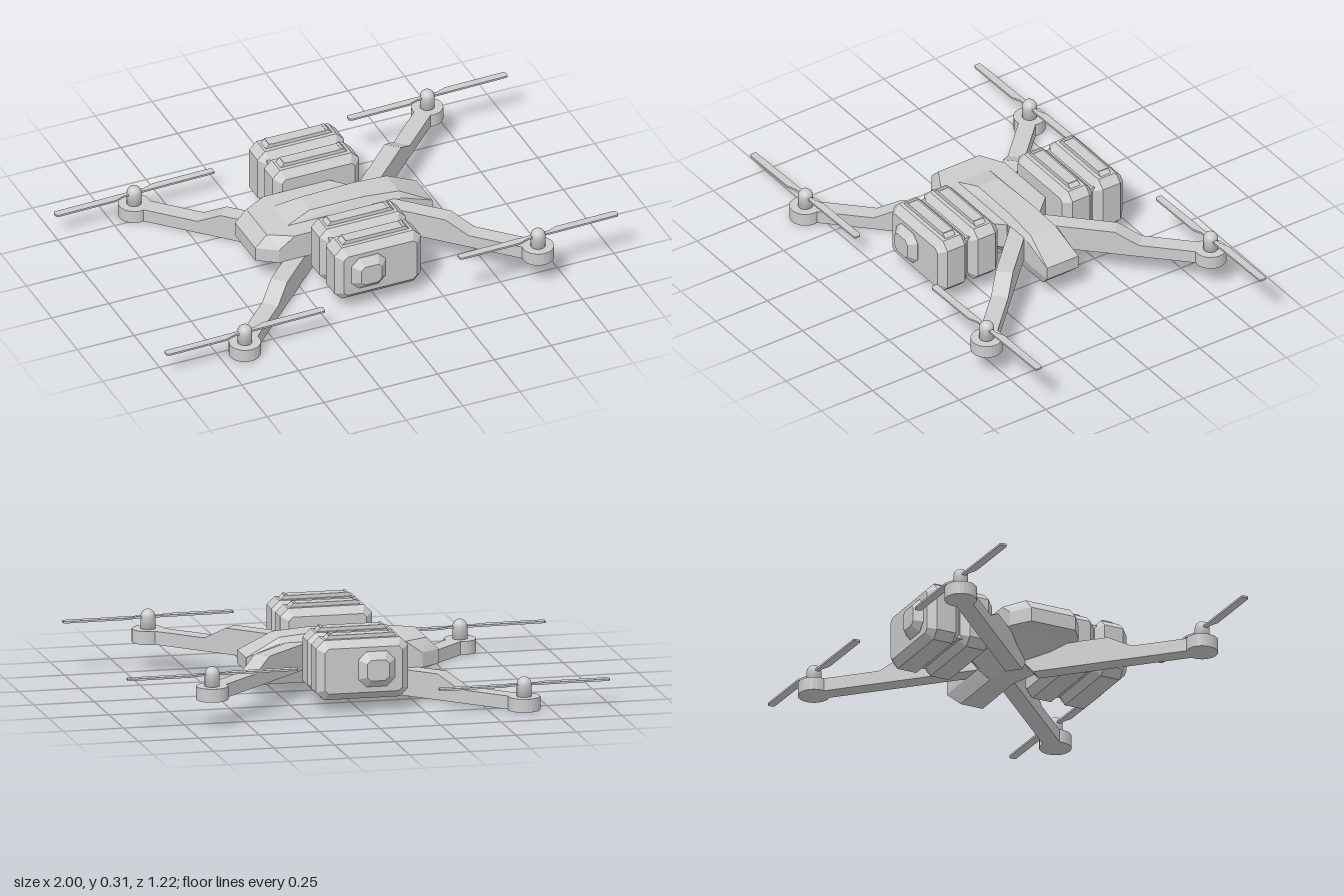
import * as THREE from 'three';
import { ConvexGeometry } from 'three/addons/geometries/ConvexGeometry.js';

const flat = new THREE.MeshStandardMaterial({ color: 0xcccccc, flatShading: true });
const smooth = new THREE.MeshStandardMaterial({ color: 0xcccccc });

function add(parent, name, geometry, material = flat) {
  const mesh = new THREE.Mesh(geometry, material);
  mesh.name = name;
  parent.add(mesh);
  return mesh;
}

// Convex solid from [x, y, halfWidth] points mirrored across z
function hull(points) {
  return new ConvexGeometry(points.flatMap(([x, y, z]) =>
    [new THREE.Vector3(x, y, z), new THREE.Vector3(x, y, -z)]));
}

function polygon(points) {
  return new THREE.Shape(points.map(([x, y]) => new THREE.Vector2(x, y)));
}

// Box with every edge chamfered, centred on the origin
function chamferBox(w, h, d, c) {
  const x = w / 2 - c, y = h / 2 - c, k = c * 0.5;
  const geo = new THREE.ExtrudeGeometry(polygon([
    [-x + k, -y], [x - k, -y], [x, -y + k], [x, y - k],
    [x - k, y], [-x + k, y], [-x, y - k], [-x, -y + k],
  ]), { depth: d - 2 * c, bevelEnabled: true, bevelThickness: c, bevelSize: c, bevelSegments: 1 });
  return geo.translate(0, 0, -(d - 2 * c) / 2);
}

// Arm profile: thin at the motor, stepping up towards the body
function armGeometry() {
  const geo = new THREE.ExtrudeGeometry(polygon([
    [0.07, 0], [0.771, 0], [0.771, 0.055], [0.485, 0.055], [0.385, 0.107], [0.03, 0.107], [0.03, 0.045],
  ]), { depth: 0.07, bevelEnabled: false });
  return geo.translate(0, 0, -0.035);
}

// Thin propeller blade reaching along +x, lying to the -z side of its hub
function bladeGeometry() {
  const geo = new THREE.ExtrudeGeometry(polygon([
    [0, -0.008], [0.06, -0.008], [0.35, -0.002], [0.355, 0.004],
    [0.355, 0.024], [0.345, 0.03], [0.09, 0.026], [0.05, 0.01], [0, 0.008],
  ]), { depth: 0.008, bevelEnabled: false });
  return geo.rotateX(-Math.PI / 2).translate(0, -0.004, 0);
}

function createMotor() {
  const motor = new THREE.Group();
  motor.name = 'motor';
  add(motor, 'motorMount', new THREE.CylinderGeometry(0.065, 0.065, 0.055, 24)).position.y = 0.0275;
  const r = 0.03, profile = [[0, 0.05], [r, 0.05], [r, 0.105]];
  for (let i = 1; i <= 6; i++) {
    const a = i * Math.PI / 12;
    profile.push([r * Math.cos(a), 0.105 + r * Math.sin(a)]);
  }
  add(motor, 'motorShaft', new THREE.LatheGeometry(
    profile.map(([x, y]) => new THREE.Vector2(Math.max(x, 0), y)), 20), smooth);
  for (const turn of [0, Math.PI]) {
    const blade = add(motor, 'propellerBlade', bladeGeometry());
    blade.position.y = 0.103;
    blade.rotation.y = turn;
  }
  return motor;
}

function createBatteryPack(side) {
  const pack = new THREE.Group();
  pack.name = side > 0 ? 'frontBatteryPack' : 'backBatteryPack';
  for (const z of [0.23, 0.378]) {
    add(pack, 'batteryBlock', chamferBox(0.38, 0.245, 0.144, 0.03)).position.set(-0.005, 0.175, side * z);
    // Raised rail with a bar on top
    add(pack, 'batteryRail', hull([
      [-0.16, 0.29, 0.025], [0.15, 0.29, 0.025], [-0.135, 0.313, 0.024], [0.125, 0.313, 0.024],
    ])).position.z = side * z;
    for (const x of [-0.13, 0.12]) {
      add(pack, 'railStop', new THREE.BoxGeometry(0.012, 0.006, 0.048)).position.set(x, 0.312, side * z);
    }
  }
  add(pack, 'batteryCore', new THREE.BoxGeometry(0.32, 0.19, 0.06)).position.set(-0.005, 0.175, side * 0.304);
  add(pack, 'batteryKnob', chamferBox(0.15, 0.145, 0.09, 0.03)).position.set(-0.058, 0.177, side * 0.436);
  return pack;
}

export function createModel() {
  const model = new THREE.Group();
  model.name = 'quadcopter';

  // Body
  add(model, 'bodyShell', hull([
    [-0.4, 0.105, 0.1], [-0.32, 0.105, 0.155], [0.04, 0.105, 0.155], [0.11, 0.105, 0.08],
    [-0.4, 0.165, 0.1], [-0.32, 0.165, 0.155],
    [-0.35, 0.216, 0.1], [-0.25, 0.216, 0.155], [0.04, 0.216, 0.155], [0.11, 0.216, 0.08],
  ]));
  add(model, 'bodyUnderside', hull([
    [-0.32, 0.106, 0.1], [-0.25, 0.106, 0.15], [0.04, 0.106, 0.15], [0.11, 0.106, 0.08],
    [-0.12, 0.045, 0.05], [0.06, 0.045, 0.05],
  ]));
  add(model, 'nose', hull([
    [-0.12, 0.045, 0.05], [0.32, 0.045, 0.05], [-0.2, 0.11, 0.075], [0.39, 0.11, 0.076],
    [0.39, 0.165, 0.076], [0.25, 0.215, 0.076], [-0.25, 0.215, 0.076],
    [-0.14, 0.247, 0.05], [0.1, 0.25, 0.055], [0.25, 0.238, 0.06],
  ]));

  // Four arms with motors: the +x pair sits higher
  for (const sx of [1, -1]) {
    for (const sz of [1, -1]) {
      const y = sx > 0 ? 0.11 : 0;
      const arm = add(model, 'arm', armGeometry());
      arm.position.set(sx * 0.1, y, 0);
      arm.rotation.y = -Math.atan2(sz, sx);
      const motor = createMotor();
      motor.position.set(sx * 0.645, y, sz * 0.545);
      model.add(motor);
    }
  }

  for (const side of [1, -1]) model.add(createBatteryPack(side));
  return model;
}
